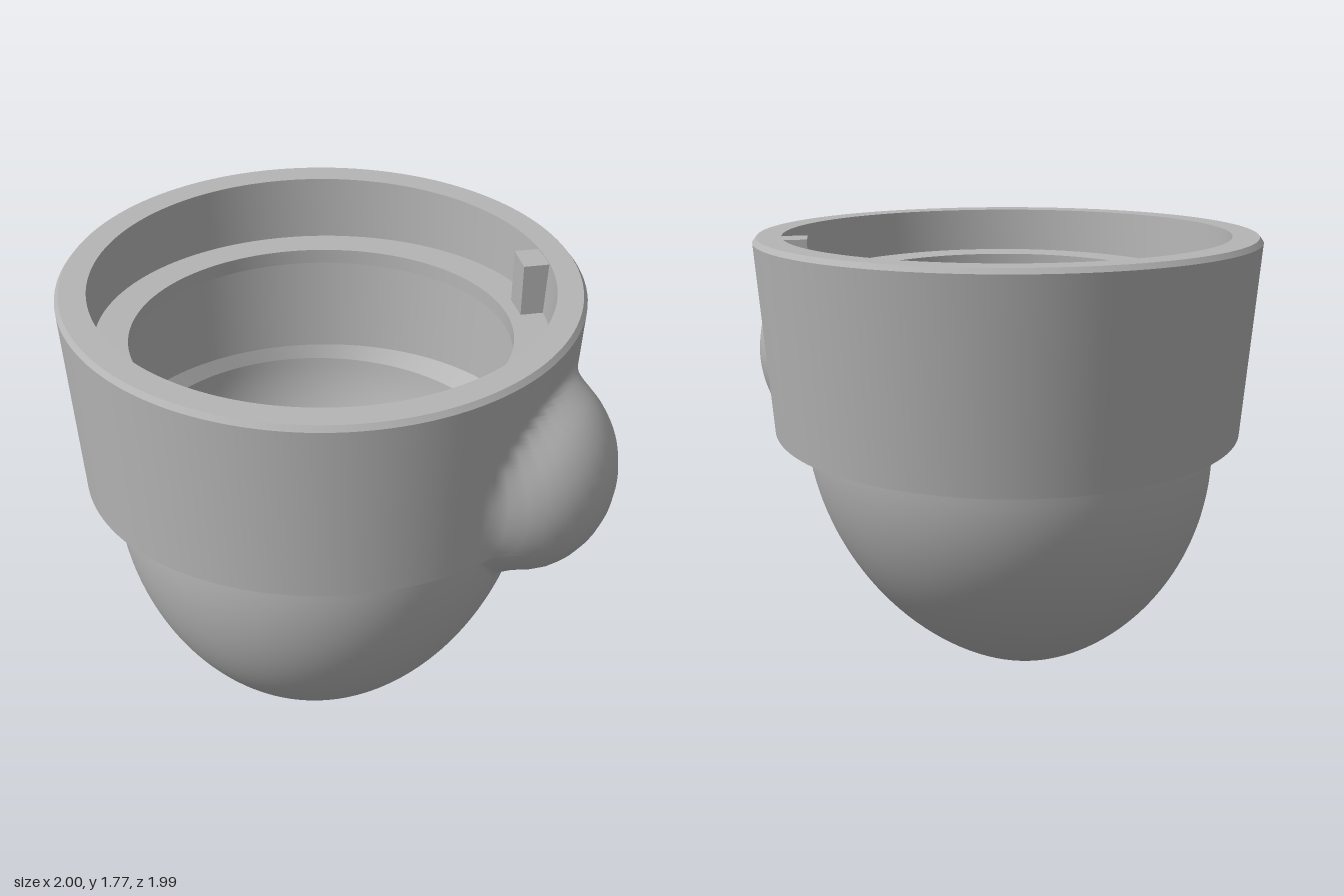
import * as THREE from 'three';

const SEGMENTS = 128;
const BUMP = { x: 0.64, y: 1.23, z: 0.55, r: 0.36, h: 0.41 };
const TILT = 0.065; // slope of the lower collar edge, high at the front

// A ring of the shell: an ellipse that may lean towards the front
const ring = (y, cx, cz, rx, rz, tilt = 0, inset = null) => ({ y, cx, cz, rx, rz, tilt, inset });

const smoothMax = (a, b, k) => Math.max(a, b) + Math.max(k - Math.abs(a - b), 0) ** 2 / (4 * k);

// Point on a ring, pushed outward where the side bulge reaches past it
function ringPoint(s, angle) {
  let dx = s.rx * Math.cos(angle), dz = s.rz * Math.sin(angle);
  const y = s.y + s.tilt * (s.cz + dz);
  const len = Math.hypot(dx, dz);
  if (s.inset !== null && len > 0.3) {
    const ux = dx / len, uz = dz / len;
    const qx = BUMP.x - s.cx, qz = BUMP.z - s.cz;
    const along = qx * ux + qz * uz;
    if (along > 0) {
      const r = BUMP.r - s.inset, h = BUMP.h - s.inset;
      const inside = 1 - (qx * qx + qz * qz - along * along) / (r * r) - ((y - BUMP.y) / h) ** 2;
      const hit = along + r * Math.sign(inside) * Math.sqrt(Math.abs(inside));
      const out = smoothMax(len, hit, 0.08);
      dx = ux * out;
      dz = uz * out;
    }
  }
  return [s.cx + dx, y, s.cz + dz];
}

// Skin between successive rings
function skin(rings) {
  const positions = [], index = [];
  rings.forEach((s, i) => {
    for (let j = 0; j < SEGMENTS; j++) {
      positions.push(...ringPoint(s, (j / SEGMENTS) * Math.PI * 2));
      if (i === rings.length - 1) continue;
      const a = i * SEGMENTS + j, b = i * SEGMENTS + (j + 1) % SEGMENTS;
      index.push(a, b, a + SEGMENTS, b, b + SEGMENTS, a + SEGMENTS);
    }
  });
  const g = new THREE.BufferGeometry();
  g.setAttribute('position', new THREE.Float32BufferAttribute(positions, 3));
  g.setIndex(index);
  g.computeVertexNormals();
  return g;
}

// Evenly spaced rings between two end rings
function blend(a, b, steps) {
  const mix = (k, t) => a[k] + (b[k] - a[k]) * t;
  return Array.from({ length: steps + 1 }, (_, i) => {
    const t = i / steps;
    return ring(mix('y', t), mix('cx', t), mix('cz', t), mix('rx', t), mix('rz', t), mix('tilt', t), a.inset);
  });
}

// Rings of the bowl from its brim to its lowest point
function bowl(scale, inset) {
  const steps = 40;
  return Array.from({ length: steps + 1 }, (_, i) => {
    const a = (i / steps) * Math.PI / 2;
    const drop = Math.sin(a);
    const f = i === steps ? 0.0005 : Math.pow(Math.cos(a) ** 2, 0.58) * scale;
    return ring(1 - drop * scale, -0.015 - 0.07 * drop, 0.05 + 0.04 * drop,
      0.815 * f, 0.91 * f, TILT * (1 - drop), inset);
  });
}

export function createModel() {
  const group = new THREE.Group();
  const grey = new THREE.MeshStandardMaterial({ color: 0xb5b5b5 });
  grey.name = 'grey';
  const add = (name, geometry) => {
    const mesh = new THREE.Mesh(geometry, grey);
    mesh.name = name;
    group.add(mesh);
    return mesh;
  };

  // Outer collar, its slanted lower edge and the bowl
  const collarTop = ring(1.755, -0.008, -0.003, 0.99, 0.993, 0, 0);
  const collarBottom = ring(1.0, -0.01, 0.05, 0.93, 0.935, TILT, 0);
  const outerBowl = bowl(1, 0);
  add('collar', skin(blend(collarTop, collarBottom, 48)));
  add('collarUnderside', skin([collarBottom, outerBowl[0]]));
  add('bowl', skin(outerBowl));

  // Rim with a small bevel
  const rimOuter = ring(1.775, -0.008, -0.003, 0.975, 0.978);
  const rimInner = ring(1.775, -0.005, 0, 0.875, 0.87);
  add('rim', skin([rimInner, rimOuter]));
  add('rimBevel', skin([rimOuter, collarTop]));

  // Recess wall and the slightly slanted inner flange
  const seatOuter = ring(1.56, -0.005, 0, 0.865, 0.86, 0.05);
  const seatInner = ring(1.56, -0.01, 0.01, 0.73, 0.73, 0.05);
  const lipBottom = ring(1.5, -0.01, 0.01, 0.73, 0.73, 0.05);
  const chamberTop = ring(1.5, -0.005, 0.015, 0.865, 0.87, 0.05, 0.05);
  const chamberBottom = ring(1.06, -0.01, 0.045, 0.85, 0.865, TILT, 0.05);
  add('recessWall', skin([seatOuter, rimInner]));
  add('flangeTop', skin([seatInner, seatOuter]));
  add('flangeEdge', skin([lipBottom, seatInner]));
  add('flangeUnderside', skin([chamberTop, lipBottom]));

  // Hollow chamber following the bulge, then the inside of the bowl
  const innerBowl = bowl(0.94, 0.05);
  add('chamberWall', skin(blend(chamberBottom, chamberTop, 30)));
  add('innerStep', skin([innerBowl[0], chamberBottom]));
  add('bowlInside', skin(innerBowl.reverse()));

  // Locating key on the recess wall
  const key = add('locatingKey', new THREE.BoxGeometry(0.13, 0.22, 0.13));
  key.position.set(0.835, 1.66, -0.035);

  return group;
}
